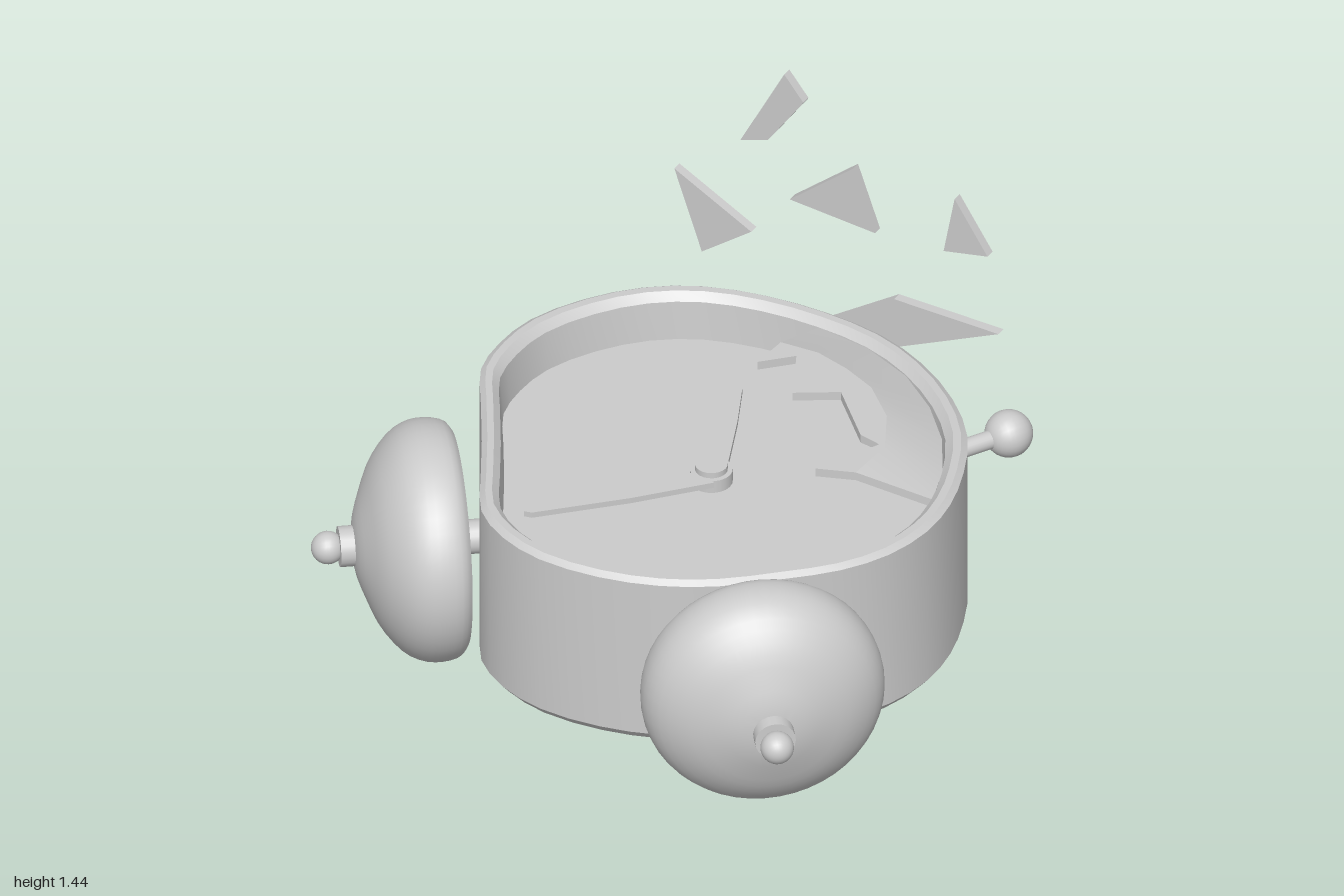
import * as THREE from 'three';
import { toCreasedNormals } from 'three/addons/utils/BufferGeometryUtils.js';

const CX = 0.04, CZ = -0.03; // dial centre
const MID = 0.39;            // height of bells and feet
const UP = new THREE.Vector3(0, 1, 0);

const mat = new THREE.MeshStandardMaterial({ color: 0xcccccc, roughness: 0.7 });
const thinMat = new THREE.MeshStandardMaterial({ color: 0xcccccc, roughness: 0.7, side: THREE.DoubleSide });

function add(parent, name, geometry, material = mat) {
  const mesh = new THREE.Mesh(geometry, material);
  mesh.name = name;
  parent.add(mesh);
  return mesh;
}

// Skin a list of closed rings that all have the same number of points
function loft(rows, crease) {
  const n = rows[0].length, pos = [], index = [];
  rows.forEach(row => row.forEach(p => pos.push(...p)));
  for (let r = 0; r < rows.length - 1; r++) {
    for (let i = 0; i < n; i++) {
      const j = (i + 1) % n, a = r * n + i, b = r * n + j;
      index.push(a, a + n, b + n, a, b + n, b);
    }
  }
  const g = new THREE.BufferGeometry();
  g.setAttribute('position', new THREE.Float32BufferAttribute(pos, 3));
  g.setIndex(index);
  return toCreasedNormals(g, crease);
}

function plate(points, depth) {
  const shape = new THREE.Shape(points.map(p => new THREE.Vector2(...p)));
  return new THREE.ExtrudeGeometry(shape, { depth, bevelEnabled: false });
}

// Cylinder along y starting at height y0
const rod = (r, y0, y1, sides = 20) =>
  new THREE.CylinderGeometry(r, r, y1 - y0, sides).translate(0, (y0 + y1) / 2, 0);

// Group whose y axis points sideways along (dx, dz)
function aimed(name, x, z, dx, dz) {
  const g = new THREE.Group();
  g.name = name;
  g.position.set(x, MID, z);
  g.quaternion.setFromUnitVectors(UP, new THREE.Vector3(dx, 0, dz).normalize());
  return g;
}

// Dented round case, x/z outline
const OUTLINE = [
  [-0.80, -0.18], [-0.78, -0.34], [-0.69, -0.52], [-0.56, -0.67], [-0.40, -0.77], [-0.20, -0.825],
  [0.01, -0.84], [0.22, -0.82], [0.41, -0.75], [0.59, -0.63], [0.73, -0.48], [0.82, -0.30],
  [0.87, -0.13], [0.88, 0.03], [0.84, 0.20], [0.75, 0.35], [0.62, 0.48], [0.46, 0.62],
  [0.30, 0.71], [0.11, 0.765], [-0.10, 0.775], [-0.26, 0.73], [-0.39, 0.64], [-0.48, 0.49],
  [-0.58, 0.31], [-0.70, 0.11], [-0.78, -0.03],
];

function caseGeometry() {
  const curve = new THREE.CatmullRomCurve3(OUTLINE.map(([x, z]) => new THREE.Vector3(x, 0, z)), true);
  const outline = curve.getPoints(54).slice(0, 54);
  // [height, scale]: underside, wall, rim, inner wall, dial
  const rings = [[0.08, 0], [0.08, 0.97], [0.11, 1], [0.685, 1], [0.70, 0.975], [0.70, 0.945],
    [0.675, 0.915], [0.54, 0.90], [0.54, 0]];
  return loft(rings.map(([y, s]) =>
    outline.map(p => [CX + (p.x - CX) * s, y, CZ + (p.z - CZ) * s])), 0.45);
}

// Remaining piece of cover glass: jagged edge, knee and rim edge
function glassGeometry() {
  const jag = [[0, -0.42], [0.09, -0.51], [0.18, -0.33], [0.31, -0.41], [0.48, -0.24], [0.56, -0.23], [0.45, -0.01]];
  const knee = [[0.01, -0.55], [0.14, -0.56], [0.26, -0.53], [0.38, -0.48], [0.50, -0.37], [0.58, -0.22], [0.57, -0.055]];
  const rim = [[0.02, -0.77], [0.21, -0.75], [0.39, -0.68], [0.54, -0.57], [0.66, -0.44], [0.75, -0.29], [0.80, -0.14]];
  const section = (i, t) => {
    const top = [[jag, 0.75], [knee, 0.75], [rim, 0.675]].map(([l, y]) => [l[i][0], y, l[i][1]]);
    return [...top, ...top.map(([x, y, z]) => [x, y - t, z]).reverse()];
  };
  const rows = jag.map((_, i) => section(i, 0.03));
  return loft([section(0, 0), ...rows, section(6, 0)], 0.3);
}

function makeBell(name, x, z, dx, dz) {
  const g = aimed(name, x, z, dx, dz);
  const inner = [[0, 0.30], [0.15, 0.27], [0.25, 0.22], [0.32, 0.15], [0.345, 0.08], [0.325, 0.01]];
  const outer = new THREE.SplineCurve([[0.345, 0], [0.375, 0.025], [0.387, 0.08], [0.38, 0.14], [0.345, 0.20],
    [0.27, 0.26], [0.18, 0.30], [0.09, 0.33], [0, 0.34]].map(p => new THREE.Vector2(...p)));
  const profile = [...inner.map(p => new THREE.Vector2(...p)), ...outer.getPoints(20)];
  profile[profile.length - 1].x = 0;
  add(g, 'bellDome', toCreasedNormals(new THREE.LatheGeometry(profile, 48), 0.7));
  add(g, 'bellStem', rod(0.055, -0.14, 0.32));
  add(g, 'bellCollar', rod(0.065, 0.31, 0.38));
  add(g, 'bellKnob', new THREE.SphereGeometry(0.053, 24, 16).translate(0, 0.415, 0));
  return g;
}

function makeFoot(name, x, z, dx, dz) {
  const g = aimed(name, x, z, dx, dz);
  add(g, 'footRod', rod(0.03, -0.28, 0));
  add(g, 'footBall', new THREE.SphereGeometry(0.077, 24, 16));
  return g;
}

export function createModel() {
  const model = new THREE.Group();
  model.name = 'brokenAlarmClock';

  add(model, 'case', caseGeometry());
  add(model, 'brokenGlass', glassGeometry(), thinMat);

  // Hands, x/z outlines lying above the dial
  const hands = {
    hourHand: [[-0.12, -0.515], [-0.10, -0.50], [-0.02, -0.33], [0.08, -0.09], [0.025, -0.08], [-0.10, -0.38]],
    minuteHand: [[0.02, -0.01], [-0.14, 0.16], [-0.345, 0.45], [-0.32, 0.445], [-0.09, 0.22], [0.095, 0.015]],
  };
  Object.entries(hands).forEach(([name, pts], i) => {
    const g = plate(pts.map(([x, z]) => [x, -z]), 0.02).rotateX(-Math.PI / 2);
    add(model, name, g).position.y = 0.55 + i * 0.015;
  });

  // Hub with a raised rim
  const hub = new THREE.Group();
  hub.name = 'hub';
  hub.position.set(0.05, 0, -0.045);
  add(hub, 'hubPin', rod(0.052, 0.53, 0.605));
  add(hub, 'hubBase', rod(0.068, 0.53, 0.585));
  model.add(hub);

  // Bells and feet
  model.add(makeBell('leftBell', 0.595, 0.60, 0.62, 0.785));
  model.add(makeBell('rightBell', -0.59, 0.44, -0.79, 0.61));
  model.add(makeFoot('leftFoot', 0.625, -0.92, 0.5, -0.87));
  model.add(makeFoot('rightFoot', -0.59, -0.92, -0.5, -0.87));

  // Flying glass shards, x/y outlines
  const shards = [
    [[-0.22, 1.445], [-0.15, 1.36], [-0.28, 1.17], [-0.38, 1.135]],
    [[0.03, 1.17], [0.11, 0.95], [-0.20, 0.97]],
    [[0.40, 1.185], [0.52, 1.005], [0.36, 0.97]],
    [[-0.62, 0.94], [-0.34, 0.795], [-0.52, 0.655]],
    [[0.56, 0.72], [0.18, 0.72], [-0.08, 0.54], [0.11, 0.50]],
  ];
  shards.forEach((pts, i) => {
    add(model, 'glassShard' + (i + 1), plate(pts, 0.032)).position.z = -1;
  });

  return model;
}
